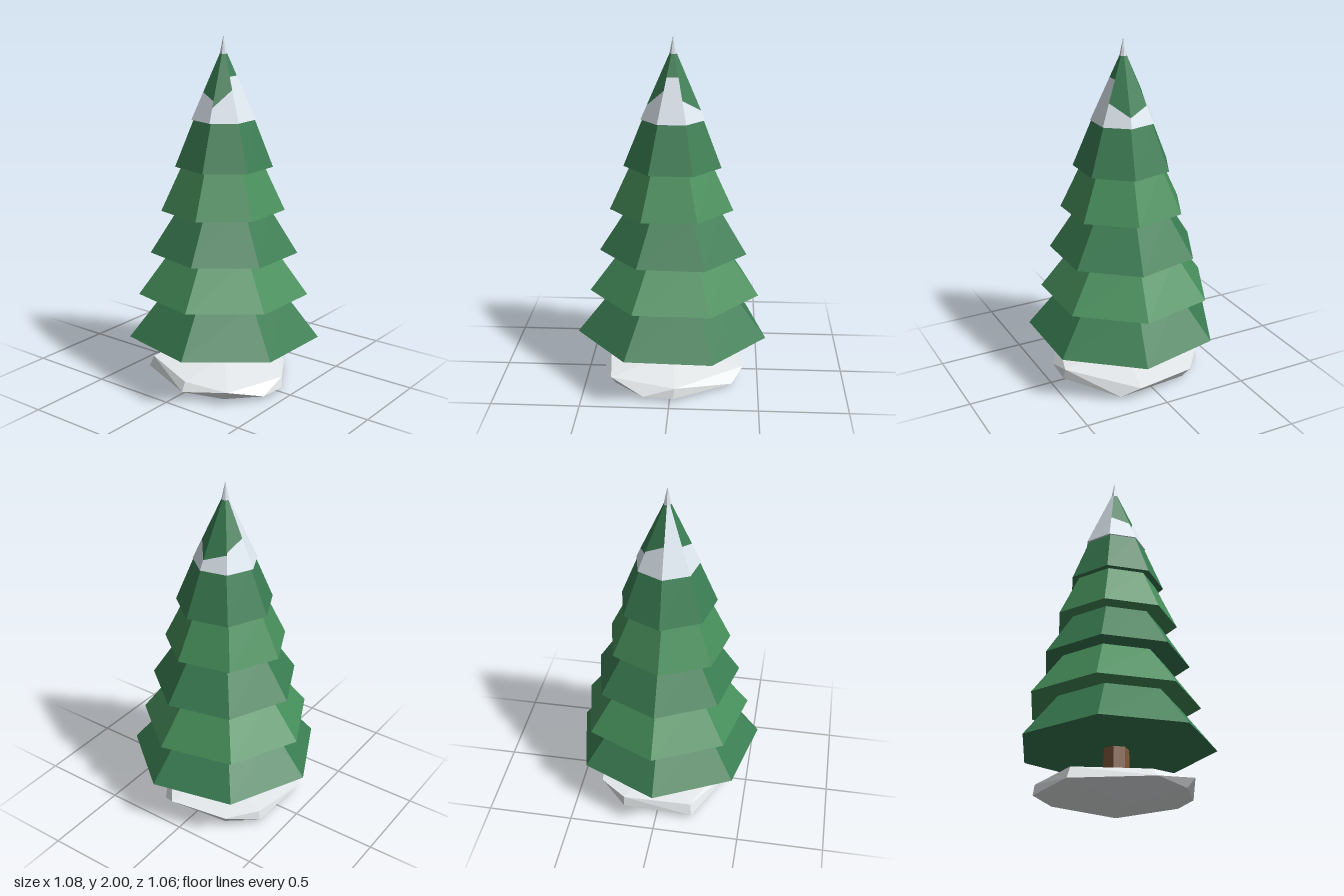
import * as THREE from 'three';
import { ConvexGeometry } from 'three/addons/geometries/ConvexGeometry.js';

const SIDES = 7;
const paint = (color) => new THREE.MeshStandardMaterial({ color, flatShading: true });

export function createModel() {
  const tree = new THREE.Group();
  tree.name = 'snowyPineTree';
  const darkGreen = paint(0x3a7d52);
  const lightGreen = paint(0x468e5a);
  const snow = paint(0xdfe8f0);
  const bark = paint(0x805838);

  const add = (name, geometry, material) => {
    const mesh = new THREE.Mesh(geometry, material);
    mesh.name = name;
    tree.add(mesh);
    return mesh;
  };
  // Seven-sided frustum with one corner pointing to the back
  const frustum = (top, bottom, height) =>
    new THREE.CylinderGeometry(top, bottom, height, SIDES, 1, false, Math.PI);

  // Faceted snow mound
  const mound = [
    [0, 0.115, 0.03], [0, 0, 0.1],
    // upper rim
    [-0.34, 0.085, 0.31], [0.03, 0.08, 0.42], [0.415, 0.08, 0.12], [0.36, 0.08, -0.23],
    [0.2, 0.09, -0.36], [-0.2, 0.085, -0.35], [-0.37, 0.085, 0.03],
    // lower rim
    [-0.15, 0.025, 0.42], [0.02, 0.02, 0.43], [0.35, 0.015, 0.22], [0.32, 0.02, -0.2],
    [0.2, 0.03, -0.37], [-0.21, 0.02, -0.375], [-0.41, 0.04, 0.04], [-0.32, 0.03, 0.27],
  ].map((p) => new THREE.Vector3(...p));
  add('snowMound', new ConvexGeometry(mound), paint(0xe8ecee));

  // Trunk
  add('trunk', frustum(0.072, 0.076, 0.3), bark).position.set(0, 0.22, 0.025);

  // Branch tiers: bottom y, top y, bottom radius, top radius, x, z, tilt
  const tiers = [
    [0.288, 0.55, 0.556, 0.345, 0, 0.025, -0.016],
    [0.537, 0.79, 0.495, 0.305, 0.012, 0.01, -0.014],
    [0.785, 1.04, 0.427, 0.262, 0.006, 0.02, -0.014],
    [1.033, 1.29, 0.356, 0.233, -0.006, 0.02, 0.005],
    [1.279, 1.55, 0.28, 0.17, 0, 0.024, -0.008],
  ];
  tiers.forEach(([y0, y1, r0, r1, x, z, tilt], i) => {
    const tier = add(`branchTier${i + 1}`, frustum(r1, r0, y1 - y0), i % 2 ? lightGreen : darkGreen);
    tier.position.set(x, (y0 + y1) / 2, z);
    tier.rotation.z = tilt;
  });

  // Treetop: each face is snow below a slanted line and green above it
  const RIM = { y: 1.54, r: 0.183 };
  const NECK = { y: 1.9, r: 0.021 };
  const onEdge = (i, t) => {
    const a = Math.PI - (i * 2 * Math.PI) / SIDES;
    const r = THREE.MathUtils.lerp(RIM.r, NECK.r, t);
    return [Math.sin(a) * r, THREE.MathUtils.lerp(RIM.y, NECK.y, t), Math.cos(a) * r + 0.02];
  };
  // Snow height at both edges of each face, starting at the back
  const snowLine = [
    [0.45, 0.3], [0.27, 0.15], [0.15, 0.34], [0.67, 0.67], [0.48, 0.22], [0.32, 0.42], [1, 1],
  ];
  const white = [];
  const green = [];
  const quad = (list, a, b, c, d) => list.push(...a, ...b, ...c, ...a, ...c, ...d);
  snowLine.forEach(([s, e], i) => {
    const j = i + 1;
    quad(white, onEdge(j, 0), onEdge(i, 0), onEdge(i, s), onEdge(j, e));
    if (s < 1) quad(green, onEdge(j, e), onEdge(i, s), onEdge(i, 1), onEdge(j, 1));
    white.push(...onEdge(j, 1), ...onEdge(i, 1), 0, 2, 0.02); // tip
    white.push(...onEdge(i, 0), ...onEdge(j, 0), 0, RIM.y, 0.02); // underside
  });
  const fromTriangles = (list) => {
    const geometry = new THREE.BufferGeometry();
    geometry.setAttribute('position', new THREE.Float32BufferAttribute(list, 3));
    geometry.computeVertexNormals();
    return geometry;
  };
  add('snowCap', fromTriangles(white), snow);
  add('treetop', fromTriangles(green), darkGreen);

  return tree;
}
